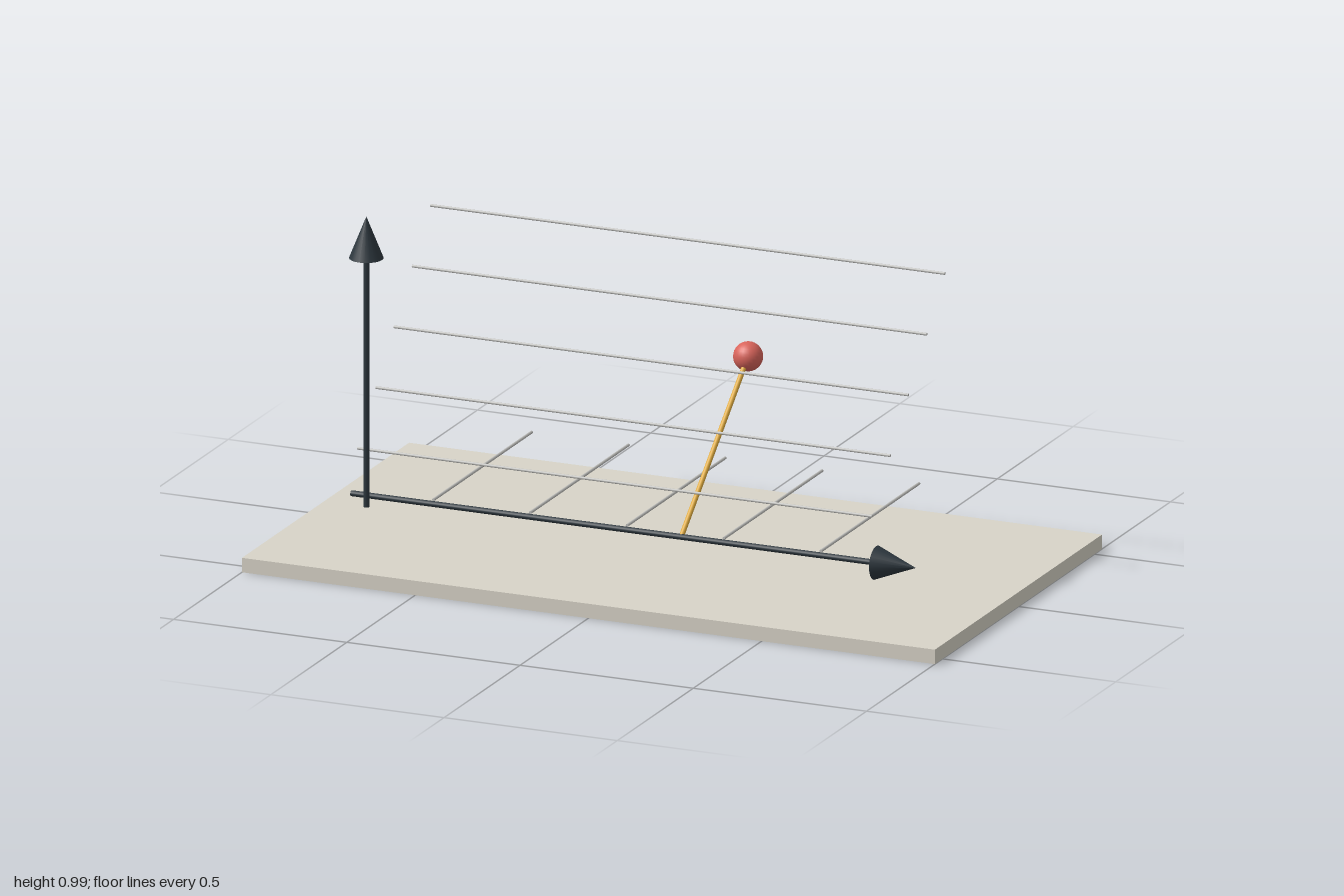
import * as THREE from 'three';

const material = (name, color) => {
  const m = new THREE.MeshStandardMaterial({ color });
  m.name = name;
  return m;
};

export function createModel() {
  const model = new THREE.Group();
  model.name = 'graphModel';
  const stone = material('stone', 0xd8d4c8);
  const charcoal = material('charcoal', 0x2d373e);
  const grey = material('paleGrey', 0xbfbfbc);
  const gold = material('gold', 0xe0ac40);
  const red = material('red', 0xd9645b);
  const up = new THREE.Vector3(0, 1, 0);

  function add(parent, name, geometry, mat) {
    const mesh = new THREE.Mesh(geometry, mat);
    mesh.name = name;
    parent.add(mesh);
    return mesh;
  }

  // Straight rod (or cone, when topRadius is 0) between two points
  function rod(parent, name, from, to, radius, mat, sides = 10, topRadius = radius) {
    const a = new THREE.Vector3(...from);
    const b = new THREE.Vector3(...to);
    const dir = b.clone().sub(a);
    const mesh = add(parent, name, new THREE.CylinderGeometry(topRadius, radius, dir.length(), sides), mat);
    mesh.position.copy(a).add(b).multiplyScalar(0.5);
    mesh.quaternion.setFromUnitVectors(up, dir.normalize());
  }

  // Axis arrow: shaft plus cone head
  function arrow(name, from, to) {
    const group = new THREE.Group();
    group.name = name;
    const a = new THREE.Vector3(...from);
    const b = new THREE.Vector3(...to);
    const neck = b.clone().addScaledVector(b.clone().sub(a).normalize(), -0.115).toArray();
    rod(group, name + 'Shaft', from, neck, 0.008, charcoal, 12);
    rod(group, name + 'Head', neck, to, 0.046, charcoal, 20, 0);
    model.add(group);
  }

  // Base slab
  add(model, 'base', new THREE.BoxGeometry(2, 0.04, 1.1), stone).position.y = 0.02;

  // Axes
  arrow('horizontalAxis', [-0.785, 0.18, 0.32], [0.844, 0.18, 0.32]);
  arrow('verticalAxis', [-0.701, 0.18, 0.413], [-0.701, 0.985, 0.413]);

  // Grid lines: a rising row along x and a level row along z
  for (let i = 0; i < 5; i++) {
    const y = 0.307 + i * 0.1335;
    const z = 0.32 - i * 0.12;
    rod(model, 'risingGridLine', [-0.767, y, z], [0.718, y, z], 0.004, grey, 8);
    const x = -0.566 + i * 0.2795;
    rod(model, 'levelGridLine', [x, 0.178, 0.28], [x, 0.178, -0.367], 0.004, grey, 8);
  }

  // Leaning stem with marker ball
  rod(model, 'stem', [0.167, 0.18, 0.32], [0.167, 0.553, -0.12], 0.007, gold, 12);
  add(model, 'ball', new THREE.SphereGeometry(0.04, 24, 16), red).position.set(0.167, 0.553, -0.12);

  return model;
}
